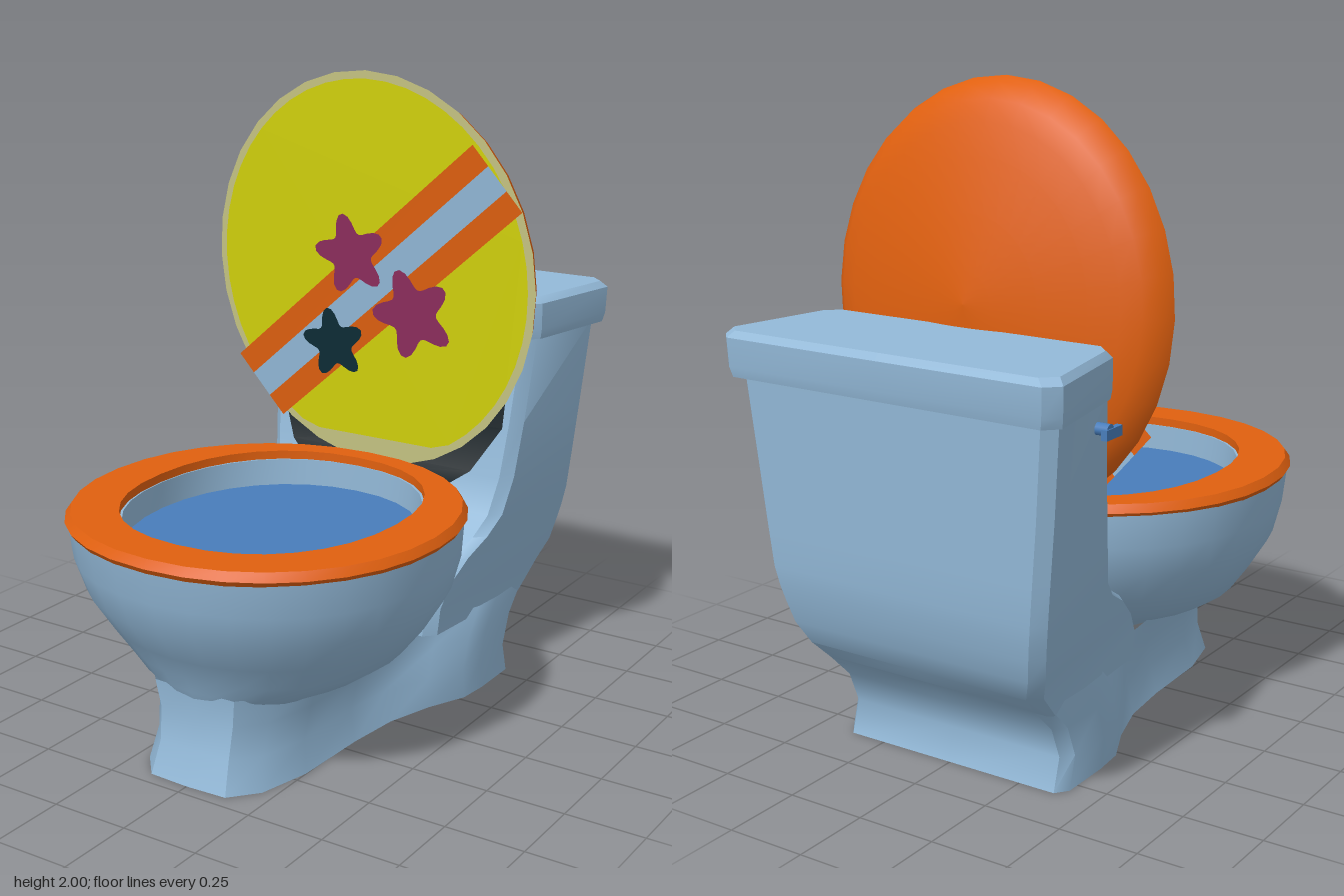
import * as THREE from 'three';
import { toCreasedNormals } from 'three/addons/utils/BufferGeometryUtils.js';

const mat = (name, color, side = THREE.DoubleSide) => {
  const m = new THREE.MeshStandardMaterial({ color, side });
  m.name = name;
  return m;
};

// Half outline of an oval from the front centre round +x to the back centre
function oval(rx, zf, zb, n = 2.1, steps = 16) {
  const pts = [], zc = (zf + zb) / 2, rz = (zf - zb) / 2;
  for (let i = 0; i <= steps; i++) {
    const a = (i / steps) * Math.PI, s = Math.sin(a), c = Math.cos(a);
    const x = i === steps ? 0 : rx * Math.pow(Math.abs(s), 2 / n);
    pts.push([x, zc + rz * Math.sign(c) * Math.pow(Math.abs(c), 2 / n)]);
  }
  return pts;
}

// Half outline of a tapered box with bevelled corners
const box = (wf, wb, zf, zb, c = 0.035) => [
  [0, zf], [wf - c, zf], [wf, zf - c], [wb, zb + c], [wb - c, zb], [0, zb],
];

// Skin over mirrored half outlines: rows of [y, half outline]
function loft(rows, { top = false, crease = 0.7 } = {}) {
  const pos = [], idx = [];
  const rings = rows.map(([y, half]) => [
    ...half.map(([x, z]) => [x, y, z]),
    ...half.slice(1, -1).reverse().map(([x, z]) => [-x, y, z]),
  ]);
  const n = rings[0].length;
  rings.forEach((r) => r.forEach((p) => pos.push(...p)));
  for (let i = 0; i < rings.length - 1; i++) {
    for (let j = 0; j < n; j++) {
      const a = i * n + j, b = i * n + ((j + 1) % n);
      idx.push(a, b, b + n, a, b + n, a + n);
    }
  }
  if (top) {
    const last = rings[rings.length - 1], o = (rings.length - 1) * n;
    pos.push(0, last[0][1], (last[0][2] + rows[rows.length - 1][1].at(-1)[1]) / 2);
    for (let j = 0; j < n; j++) idx.push(rings.length * n, o + j, o + ((j + 1) % n));
  }
  const g = new THREE.BufferGeometry();
  g.setAttribute('position', new THREE.Float32BufferAttribute(pos, 3));
  g.setIndex(idx);
  g.computeVertexNormals();
  return toCreasedNormals(g, crease);
}

// Flat plate from a full outline in the x-z plane
function plate(half, y) {
  return loft([[y, half]], { top: true });
}

export function createModel() {
  const root = new THREE.Group();
  const porcelain = mat('porcelain blue', 0x93b9d8);
  const orange = mat('orange', 0xe0600f);
  const yellow = mat('yellow', 0xd4d40c);
  const khaki = mat('pale khaki', 0xc8c684);
  const purple = mat('purple', 0x8e2e5e);
  const teal = mat('dark teal', 0x0d2c36);
  const blue = mat('water blue', 0x487dbb);
  const dark = mat('near black', 0x07181e);

  const add = (name, geo, material, parent = root) => {
    const m = new THREE.Mesh(geo, material);
    m.name = name;
    parent.add(m);
    return m;
  };

  // Foot: narrow rounded front widening to the back, open underneath
  const foot = [[0, 0], [0.13, 0.005], [0.2, 0.07], [0.24, 0.2], [0.25, 0.4], [0.27, 0.54],
    [0.33, 0.66], [0.39, 0.76], [0.4, 0.84], [0.4, 0.97], [0.37, 1], [0, 1]];
  const footRow = (y, zf, zb, k = 1) =>
    [y, foot.map(([w, t]) => [t < 0.6 ? w * k : w, zf + (zb - zf) * t])];
  add('foot', loft([
    footRow(0, 0.71, -0.58, 1.04), footRow(0.1, 0.675, -0.55, 0.96),
    footRow(0.2, 0.66, -0.59), footRow(0.29, 0.67, -0.68, 1.1),
  ], { top: false }), porcelain);

  // Bowl: outer wall, rim, then inner wall
  const bowlRows = [
    [0.21, 0.2, 0.64, 0.1], [0.25, 0.27, 0.66, 0.03], [0.29, 0.36, 0.68, -0.04],
    [0.34, 0.435, 0.70, -0.13], [0.42, 0.495, 0.755, -0.21], [0.52, 0.556, 0.82, -0.27],
    [0.62, 0.575, 0.85, -0.3], [0.73, 0.585, 0.868, -0.305],
    [0.735, 0.427, 0.727, -0.228], [0.6, 0.427, 0.727, -0.228],
  ];
  add('bowl', loft(bowlRows.map(([y, rx, zf, zb]) => [y, oval(rx, zf, zb, y > 0.6 ? 2.15 : 2.05)]),
    { crease: 0.9 }), porcelain);
  add('bowlUnderside', plate(oval(0.2, 0.64, 0.1), 0.212), porcelain);
  add('water', plate(oval(0.427, 0.727, -0.228, 2.15), 0.65), blue);

  // Seat ring
  const hole = oval(0.431, 0.731, -0.232, 2.2);
  add('seat', loft([
    [0.72, hole], [0.72, oval(0.585, 0.87, -0.305)], [0.737, oval(0.597, 0.882, -0.315)],
    [0.762, oval(0.58, 0.865, -0.3)], [0.762, hole], [0.72, hole],
  ], { crease: 0.5 }), orange);

  // Tank with the neck that meets the bowl: y, front and back half widths, front and back z
  const tank = [
    [0.26, 0.36, 0.4, -0.1, -0.65], [0.35, 0.37, 0.42, -0.1, -0.74], [0.42, 0.38, 0.45, -0.14, -0.775],
    [0.49, 0.4, 0.465, -0.22, -0.795], [0.54, 0.42, 0.475, -0.31, -0.807], [0.6, 0.44, 0.485, -0.37, -0.817],
    [0.72, 0.46, 0.497, -0.405, -0.823], [0.9, 0.475, 0.515, -0.435, -0.83], [1.18, 0.495, 0.54, -0.47, -0.845],
  ];
  add('tank', loft(tank.map(([y, ...r]) => [y, box(...r)]), { crease: 0.65 }), porcelain);
  add('tankUnderside', plate(box(0.36, 0.4, -0.1, -0.65), 0.262), dark);
  add('tankLid', loft([
    [1.17, box(0.48, 0.52, -0.48, -0.84)], [1.17, box(0.505, 0.565, -0.465, -0.875, 0.04)],
    [1.2, box(0.51, 0.572, -0.462, -0.882, 0.04)], [1.285, box(0.51, 0.575, -0.462, -0.885, 0.04)],
    [1.305, box(0.495, 0.555, -0.475, -0.87, 0.04)],
  ], { top: true, crease: 0.5 }), porcelain);

  // Flush handle on the tank's right side
  const pivot = add('handlePivot', new THREE.CylinderGeometry(0.018, 0.018, 0.05, 12), blue);
  pivot.rotation.z = Math.PI / 2;
  pivot.position.set(-0.515, 1.1, -0.56);
  add('handleLever', new THREE.BoxGeometry(0.018, 0.03, 0.08), blue).position.set(-0.535, 1.09, -0.545);

  // Dark hinge panel running down the tank front to the back of the bowl
  const strip = [[1.17, -0.462, 0.43], [0.88, -0.425, 0.42], [0.74, -0.365, 0.34], [0.69, -0.335, 0.27], [0.53, -0.308, 0.2]];
  const panel = new THREE.PlaneGeometry(2, 1, 1, strip.length - 1);
  strip.forEach(([y, z, w], i) => {
    panel.attributes.position.setXYZ(i * 2, -w, y, z);
    panel.attributes.position.setXYZ(i * 2 + 1, w, y, z);
  });
  panel.computeVertexNormals();
  add('hingePanel', panel, dark);

  // Raised cover: domed back, flat painted front
  const cover = new THREE.Group();
  cover.name = 'cover';
  cover.position.set(0, 1.36, -0.3);
  cover.rotation.x = 0.063;
  root.add(cover);
  const rx = 0.585, ry = 0.642;
  const dome = new THREE.LatheGeometry(
    [[1, 0], [0.97, 0.04], [0.9, 0.078], [0.8, 0.1], [0.65, 0.126], [0.4, 0.158], [0.15, 0.18], [0, 0.187]]
      .map(([r, d]) => new THREE.Vector2(r, d)), 32);
  dome.rotateX(-Math.PI / 2).scale(rx, ry, 1);
  add('coverBack', dome, orange, cover);
  add('coverRim', new THREE.CircleGeometry(1, 32).scale(rx, ry, 1), khaki, cover);

  // Painted shapes sit in thin layers on the cover front
  const flat = (name, pts, material, z) => add(name,
    new THREE.ShapeGeometry(new THREE.Shape(pts)).translate(0, 0, z), material, cover);
  const around = (n, f) => Array.from({ length: n }, (_, i) => f((i / n) * Math.PI * 2));
  flat('coverFace', around(48, (a) => new THREE.Vector2(
    0.56 * Math.cos(a), Math.max(0.617 * Math.sin(a), -0.555))), yellow, 0.004);

  const stripe = (name, offset, width, material) => {
    const m = add(name, new THREE.PlaneGeometry(1.19, width), material, cover);
    const a = 0.715;
    m.rotation.z = a;
    m.position.set(0.01 - Math.sin(a) * offset, -0.045 + Math.cos(a) * offset, 0.008);
  };
  stripe('upperStripe', 0.087, 0.08, orange);
  stripe('middleStripe', 0, 0.094, porcelain);
  stripe('lowerStripe', -0.087, 0.08, orange);

  const star = (name, x, y, r, turn, material) => flat(name, around(50, (a) => {
    const wave = Math.pow(0.5 + 0.5 * Math.cos(5 * (a - turn)), 1.2);
    const d = r * (0.56 + 0.44 * wave);
    return new THREE.Vector2(x + d * Math.cos(a), y + d * Math.sin(a));
  }), material, 0.012);
  star('upperStar', -0.065, 0.055, 0.135, 1.8, purple);
  star('rightStar', 0.16, -0.115, 0.15, 1.95, purple);
  star('lowerStar', -0.14, -0.25, 0.12, 1.75, teal);

  return root;
}
